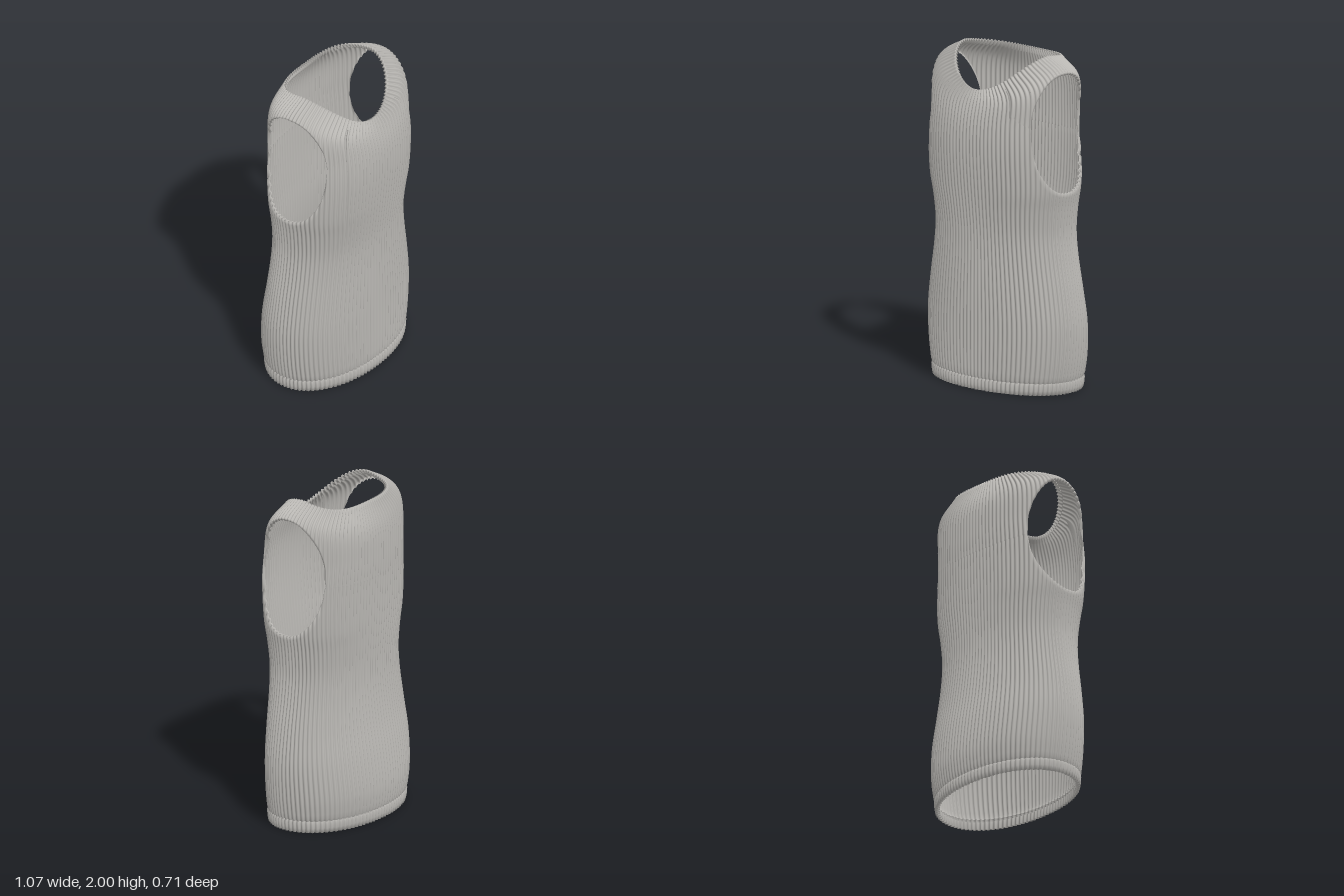
import * as THREE from 'three';

const RIBS = 96, COLS = RIBS * 6, THICK = 0.014;

// Horizontal rings: height, half width, front depth, back depth, squareness
const RINGS = [
  [0, 0.5, 0.308, 0.337, 2.1], [0.07, 0.508, 0.31, 0.343, 2.1], [0.2, 0.527, 0.312, 0.354, 2.1],
  [0.4, 0.536, 0.312, 0.335, 2.1], [0.6, 0.513, 0.312, 0.303, 2.1], [0.8, 0.478, 0.31, 0.282, 2.15],
  [0.95, 0.462, 0.313, 0.278, 2.2], [1.1, 0.472, 0.327, 0.284, 2.25], [1.22, 0.49, 0.339, 0.289, 2.3],
  [1.45, 0.495, 0.354, 0.296, 2.3], [1.62, 0.485, 0.345, 0.302, 2.3],
];
const SEGS = RINGS.length + 1;
const T_HEM = 1 / SEGS;

// Point of a superellipse ring, deeper or shallower at front and back
function ringPoint(a, y, w, front, back, n) {
  const c = Math.cos(a), s = Math.sin(a);
  const r = Math.pow(Math.abs(c) ** n + Math.abs(s) ** n, -1 / n);
  return new THREE.Vector3(w * r * c, y, (s > 0 ? front : back) * r * s);
}

// Smooth vertical curve of the garment at one angle, from hem to neckline
function columnCurve(i) {
  const u = (i / COLS) * Math.PI * 2;
  const a = u + 0.1 * Math.sin(2 * u);
  const s = Math.sin(a), f = Math.abs(s);
  const pts = RINGS.map(([y, w, zf, zb, n]) => ringPoint(a, y, w, zf, zb, n));
  // shoulder ring dips at front and back
  pts.push(ringPoint(a, 1.9 - (s > 0 ? 0.17 : 0.1) * f * f, 0.462, 0.316, 0.294, 2.3));
  // neckline scoops at the front and stays high at the back
  const neck = ringPoint(a, 0, 0.315, 0.285, 0.24, s > 0 ? 2 : 3);
  neck.y = s > 0 ? 2 - 0.2 * (neck.z / 0.285) ** 2.2 : 2 - 0.045 * Math.abs(neck.z / 0.24);
  pts.push(neck);
  return new THREE.CatmullRomCurve3(pts);
}

// Below 1 inside the armhole outline, seen from the side
const armhole = (p) =>
  Math.abs((p.z - 0.015) / 0.227) ** 2.25 + Math.abs((p.y - 1.555) / 0.357) ** 2.25;

// Where a column enters and leaves the armhole (equal when it misses it)
function armholeSpan(curve) {
  const f = (t) => armhole(curve.getPoint(t));
  let best = 0.75, low = Infinity;
  for (let t = 0.6; t <= 0.96; t += 0.003) {
    const v = f(t);
    if (v < low) { low = v; best = t; }
  }
  if (low >= 1) return { start: best, end: best, cut: false };
  const cross = (inside, outside) => {
    for (let k = 0; k < 24; k++) {
      const m = (inside + outside) / 2;
      if (f(m) < 1) inside = m; else outside = m;
    }
    return outside;
  };
  return { start: cross(best, 0.5), end: cross(best, 1), cut: true };
}

export function createModel() {
  const knit = new THREE.MeshStandardMaterial({ color: 0xbab8b4, side: THREE.DoubleSide });
  knit.name = 'grey knit';
  const curves = Array.from({ length: COLS }, (_, i) => columnCurve(i));
  const spans = curves.map(armholeSpan);

  // Ribbed surface point, pushed inwards by inset
  function surface(i, t, inset) {
    const p = curves[i].getPoint(t);
    const up = curves[i].getPoint(Math.min(1, t + 0.004))
      .sub(curves[i].getPoint(Math.max(0, t - 0.004)));
    const round = curves[(i + 1) % COLS].getPoint(t)
      .sub(curves[(i + COLS - 1) % COLS].getPoint(t));
    const normal = up.cross(round).normalize();
    const rib = 0.011 * (1 - Math.abs(Math.sin((i / COLS) * Math.PI * RIBS)));
    p.addScaledVector(normal, -rib - inset);
    p.y = Math.max(0, p.y);
    return p;
  }

  // Closed band of columns; rowsOf(i) lists [t, inset] from bottom to top
  function band(name, rowsOf) {
    const pos = [], index = [];
    let rows = 0;
    for (let i = 0; i < COLS; i++) {
      const list = rowsOf(i);
      rows = list.length;
      for (const [t, inset] of list) pos.push(...surface(i, t, inset).toArray());
    }
    for (let i = 0; i < COLS; i++) {
      for (let j = 0; j < rows - 1; j++) {
        const a = i * rows + j, b = ((i + 1) % COLS) * rows + j;
        index.push(a, a + 1, b, b, a + 1, b + 1);
      }
    }
    const g = new THREE.BufferGeometry();
    g.setAttribute('position', new THREE.Float32BufferAttribute(pos, 3));
    g.setIndex(index);
    g.computeVertexNormals();
    const mesh = new THREE.Mesh(g, knit);
    mesh.name = name;
    return mesh;
  }

  const steps = (from, to, n) =>
    Array.from({ length: n + 1 }, (_, k) => [from + ((to - from) * k) / n, 0]);

  const group = new THREE.Group();
  group.name = 'ribbedTankTop';

  // Hem band, folded inwards at the bottom
  group.add(band('hem', () => [
    [T_HEM * 0.7, THICK], [0, THICK], [0, 0], [T_HEM * 0.4, -0.002], [T_HEM * 0.8, -0.002], [T_HEM, 0.005],
  ]));

  // Body up to the lower armhole edges
  group.add(band('body', (i) => {
    const { start, cut } = spans[i];
    return [[T_HEM, 0.005], ...steps(T_HEM * 1.15, start, 36), [start, cut ? THICK : 0]];
  }));

  // Chest, back and shoulder straps up to the neckline, with folded edges
  group.add(band('shouldersAndNeckline', (i) => {
    const { end, cut } = spans[i];
    return [[end, cut ? THICK : 0], ...steps(end, 1, 18), [1, THICK], [0.98, THICK]];
  }));

  return group;
}
